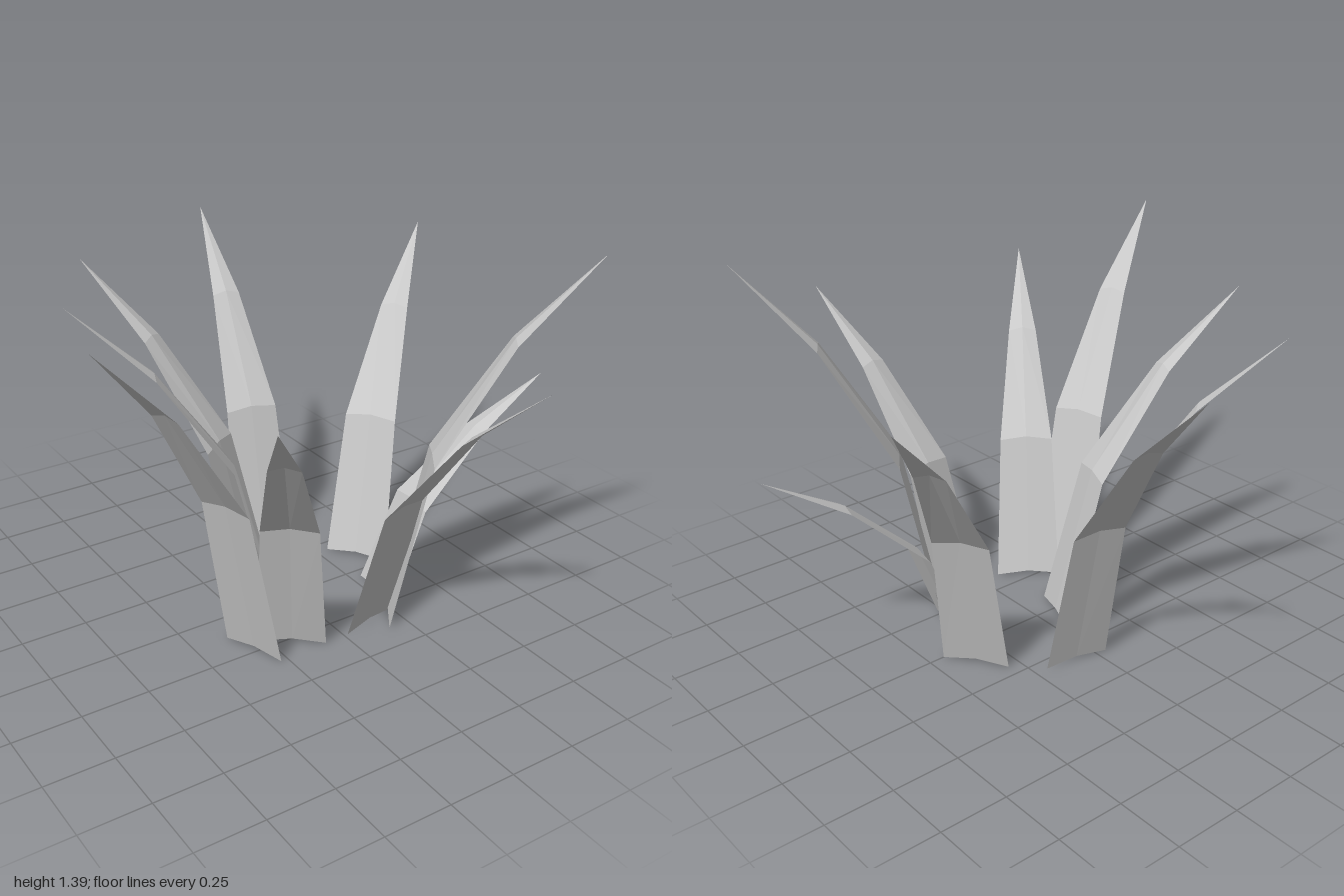
import * as THREE from 'three';

const leafMaterial = new THREE.MeshStandardMaterial({
  color: 0xc8c8c8, flatShading: true, side: THREE.DoubleSide,
});
leafMaterial.name = 'leaf grey';

// Cross-sections up a blade: outward reach, height (both as fractions), width
const SECTIONS = [
  [0, 0, 0.245],
  [0.2, 0.46, 0.203],
  [0.585, 0.775, 0.108],
];
const RIDGE = 0.014; // lift of the midrib above the two edges

// Each blade: root x, root z, tip x, tip z, height
const BLADES = [
  [0.08, -0.32, 0.205, -1.0, 1.255],
  [-0.067, -0.164, -0.46, -0.735, 1.225],
  [-0.075, -0.02, -0.74, -0.26, 1.23],
  [-0.32, 0.235, -0.985, 0.48, 1.37],
  [-0.18, 0.27, -0.595, 0.83, 1.16],
  [0.135, 0.315, 0.285, 0.995, 1.135],
  [0.235, 0.29, 0.81, 0.67, 1.395],
  [0.28, 0.16, 0.975, 0.24, 0.78],
  [0.37, -0.1, 0.945, -0.505, 1.195],
];

// Folded sheet: three points per section, closing to a single tip
function bladeGeometry([x0, z0, x1, z1, height]) {
  const reach = Math.hypot(x1 - x0, z1 - z0);
  const ux = (x1 - x0) / reach, uz = (z1 - z0) / reach;
  const positions = [], index = [];
  SECTIONS.forEach(([out, up, width]) => {
    for (const side of [-1, 0, 1]) {
      const s = side * width / 2;
      positions.push(
        x0 + ux * reach * out - uz * s,
        0.004 + (height - 0.004) * up + (side === 0 ? RIDGE : 0),
        z0 + uz * reach * out + ux * s,
      );
    }
  });
  positions.push(x1, height, z1);

  const tip = SECTIONS.length * 3;
  for (let row = 0; row < SECTIONS.length; row++) {
    for (let col = 0; col < 2; col++) {
      const a = row * 3 + col, b = a + 1;
      if (row === SECTIONS.length - 1) index.push(a, tip, b);
      else index.push(a, a + 3, b, b, a + 3, b + 3);
    }
  }
  const indexed = new THREE.BufferGeometry();
  indexed.setAttribute('position', new THREE.Float32BufferAttribute(positions, 3));
  indexed.setIndex(index);
  const geometry = indexed.toNonIndexed();
  geometry.computeVertexNormals();
  return geometry;
}

export function createModel() {
  const plant = new THREE.Group();
  plant.name = 'grassTuft';
  BLADES.forEach((blade, i) => {
    const mesh = new THREE.Mesh(bladeGeometry(blade), leafMaterial);
    mesh.name = `grassBlade${i + 1}`;
    plant.add(mesh);
  });
  return plant;
}
